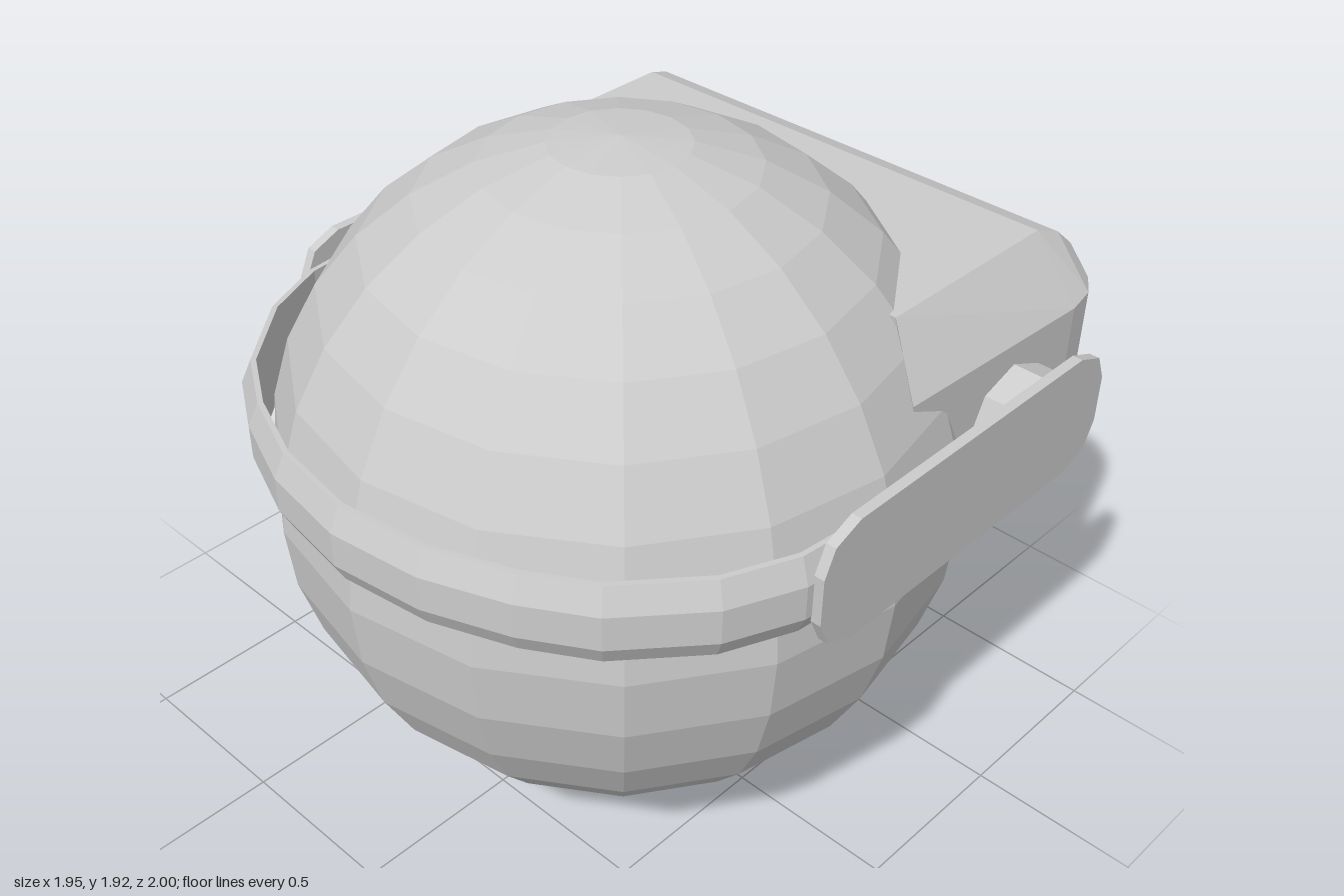
import * as THREE from 'three';

const material = new THREE.MeshStandardMaterial({ color: 0xcccccc, flatShading: true });

function addMesh(parent, geometry, name) {
  const mesh = new THREE.Mesh(geometry, material);
  mesh.name = name;
  parent.add(mesh);
  return mesh;
}

// Skin a list of cross-sections (each counter-clockwise against the travel direction), with end caps.
function loft(rings) {
  const n = rings[0].length;
  const last = rings.length - 1;
  const index = [];
  for (let i = 0; i < last; i++) {
    for (let j = 0; j < n; j++) {
      const k = (j + 1) % n;
      const a = i * n + j, b = i * n + k;
      index.push(a, b, b + n, a, b + n, a + n);
    }
  }
  for (let j = 1; j < n - 1; j++) {
    index.push(0, j + 1, j);
    index.push(last * n, last * n + j, last * n + j + 1);
  }
  const geometry = new THREE.BufferGeometry();
  geometry.setAttribute('position', new THREE.Float32BufferAttribute(rings.flat(2), 3));
  geometry.setIndex(index);
  const flat = geometry.toNonIndexed();
  flat.computeVertexNormals();
  return flat;
}

// Rectangle with cut corners; frontSlope lets z vary with height.
function octagon(w, y0, y1, cx, cy, zAt) {
  return [
    [w, y0 + cy], [w, y1 - cy], [w - cx, y1], [-w + cx, y1],
    [-w, y1 - cy], [-w, y0 + cy], [-w + cx, y0], [w - cx, y0],
  ].map(([x, y]) => [x, y, zAt(y)]);
}

export function createModel() {
  const model = new THREE.Group();
  model.name = 'headWithHeadset';

  // Faceted ball head
  const head = addMesh(model, new THREE.SphereGeometry(0.962, 16, 16), 'head');
  head.position.set(0, 0.966, 0.005);

  // Headset body, from the rounded outer face to the end sunk in the head
  const frontZ = (y) => (y > 1.5 ? -0.25 : y > 1.3 ? -0.19 : y > 0.9 ? -0.32 : -0.5);
  addMesh(model, loft([
    octagon(0.80, 0.83, 1.50, 0.07, 0.08, () => -1.0),
    octagon(0.84, 0.78, 1.555, 0.12, 0.14, () => -0.94),
    octagon(0.85, 0.75, 1.585, 0.145, 0.18, () => -0.86),
    octagon(0.82, 0.75, 1.585, 0.12, 0.18, frontZ),
  ]), 'headsetBody');

  // Strap around the other side of the head
  const half = [[0.96, 0.2], [0.945, 0.35], [0.86, 0.55], [0.68, 0.76], [0.5, 0.87], [0.27, 0.96]];
  const path = [...half, [0, 0.998], ...half.map(([x, z]) => [-x, z]).reverse()];
  const profile = [[1, 1.13], [1, 1.23], [0.97, 1.3], [0.955, 1.3], [0.955, 1.07], [0.97, 1.07]];
  addMesh(model, loft(path.map(([x, z]) => profile.map(([s, y]) => [x * s, y, z * s]))), 'strap');

  // Side arms with cut corners and their hinges
  const corner = [[0.585, 0.07], [0.55, 0.147], [0.46, 0.183]];
  const outline = [
    ...corner,
    ...corner.map(([x, y]) => [-x, y]).reverse(),
    ...corner.map(([x, y]) => [-x, -y]),
    ...corner.map(([x, y]) => [x, -y]).reverse(),
  ].map(([x, y]) => new THREE.Vector2(x, y));
  const armGeometry = new THREE.ExtrudeGeometry(new THREE.Shape(outline), { depth: 0.03, bevelEnabled: false });
  armGeometry.translate(0, 0, -0.015).rotateY(Math.PI / 2);
  const hingeGeometry = new THREE.CylinderGeometry(0.16, 0.16, 0.2, 8).rotateZ(Math.PI / 2);
  for (const [side, label] of [[1, 'left'], [-1, 'right']]) {
    addMesh(model, armGeometry, label + 'Arm').position.set(side * 0.96, 1.183, -0.255);
    addMesh(model, hingeGeometry, label + 'Hinge').position.set(side * 0.85, 1.18, -0.61);
  }

  // Small half-round mouth, lying on the head below the headset
  const mouthShape = new THREE.Shape();
  mouthShape.absellipse(0, 0, 0.13, 0.06, Math.PI, Math.PI * 2, false);
  const mouth = addMesh(model, new THREE.ExtrudeGeometry(mouthShape,
    { depth: 0.04, bevelEnabled: false, curveSegments: 5 }), 'mouth');
  mouth.position.set(0, 0.5, -0.795);
  mouth.lookAt(0, 0.5 - 0.5, -0.795 - 0.87);

  return model;
}
